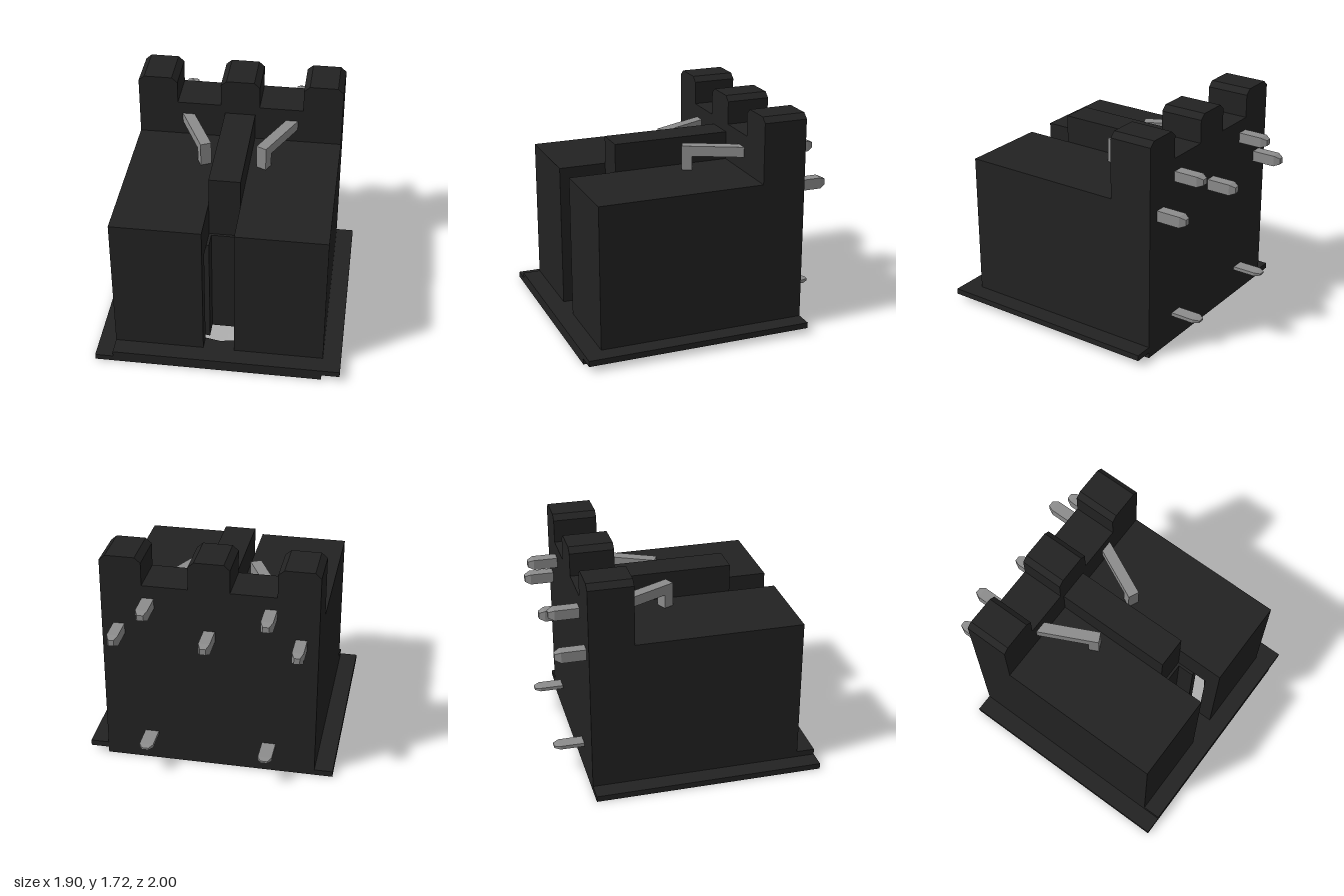
import * as THREE from 'three';

const plastic = new THREE.MeshStandardMaterial({ color: 0x222222, flatShading: true });
const metal = new THREE.MeshStandardMaterial({ color: 0x8c8c8c, flatShading: true });

const BORE_Z = 0.17; // centre of the round socket
const SIDES = 16;

export function createModel() {
  const group = new THREE.Group();

  const add = (name, geometry, material = plastic, parent = group) => {
    const mesh = new THREE.Mesh(geometry, material);
    mesh.name = name;
    parent.add(mesh);
    return mesh;
  };
  // Box given by its extents
  const box = (x0, x1, y0, y1, z0, z1) =>
    new THREE.BoxGeometry(x1 - x0, y1 - y0, z1 - z0)
      .translate((x0 + x1) / 2, (y0 + y1) / 2, (z0 + z1) / 2);
  // Plan outline of [x, z] points raised from y0 to y1
  const slab = (points, y0, y1, hole) => {
    const toVec = ([x, z]) => new THREE.Vector2(x, -z);
    const shape = new THREE.Shape(points.map(toVec));
    if (hole) shape.holes.push(new THREE.Path(hole.map(toVec)));
    return new THREE.ExtrudeGeometry(shape, { depth: y1 - y0, bevelEnabled: false })
      .rotateX(-Math.PI / 2).translate(0, y0, 0);
  };
  // Corners of the faceted socket circle, counted from the front
  const ring = (r, first, last) => {
    const pts = [];
    for (let k = first; k <= last; k++) {
      const a = (k / SIDES) * Math.PI * 2;
      pts.push([r * Math.sin(a), BORE_Z + r * Math.cos(a)]);
    }
    return pts;
  };

  // Base plate with the round opening, and staggered side tabs
  add('basePlate', slab([[-0.81, 1], [0.81, 1], [0.81, -0.77], [-0.81, -0.77]], 0, 0.09, ring(0.6, 0, SIDES - 1)));
  add('rightTab', box(-0.95, -0.81, 0, 0.045, -0.77, 1));
  add('leftTab', box(0.81, 0.95, 0.045, 0.09, -0.77, 1));

  // Housing: lower part holds the bore, upper part closes it; both have the front slot
  const outer = [[0.12, 0.86], [0.81, 0.86], [0.81, -0.77], [-0.81, -0.77], [-0.81, 0.86], [-0.12, 0.86]];
  add('lowerHousing', slab(
    [...outer, [-0.12, 0.746], ...ring(0.6, 1, SIDES - 1).reverse(), [0.12, 0.746]], 0.09, 0.93));
  add('upperHousing', slab([...outer, [-0.12, 0.49], [0.12, 0.49]], 0.93, 1.21));
  add('topRidge', box(-0.12, 0.12, 1.21, 1.43, -0.43, 0.49));

  // Socket core with keyway
  add('socketCore', slab(
    [[0.1, 0.64], ...ring(0.49, 1, SIDES - 1), [-0.1, 0.64], [-0.1, 0.51], [0.1, 0.51]], 0.015, 0.93));

  // Rear wall with three chamfered towers
  const wall = [[-0.81, 1.21]];
  for (const [a, b] of [[-0.81, -0.5], [-0.155, 0.155], [0.5, 0.81]]) {
    if (a > -0.8) wall.push([a, 1.5]);
    wall.push([a, 1.68], [a + 0.045, 1.72], [b - 0.045, 1.72], [b, 1.68]);
    if (b < 0.8) wall.push([b, 1.5]);
  }
  wall.push([0.81, 1.21]);
  add('rearWall', new THREE.ExtrudeGeometry(
    new THREE.Shape(wall.map(([x, y]) => new THREE.Vector2(x, y))),
    { depth: 0.34, bevelEnabled: false }).translate(0, 0, -0.77));

  // Solder pins with tapered tips
  const pin = (name, x, y, w, h) => {
    const g = new THREE.BoxGeometry(w, h, 0.3, 1, 1, 2);
    const p = g.attributes.position;
    for (let i = 0; i < p.count; i++) {
      const z = p.getZ(i);
      if (z > 0.1) p.setZ(i, -0.7);
      else if (z > -0.1) p.setZ(i, -0.955);
      else p.setXYZ(i, p.getX(i) * 0.5, p.getY(i) * 0.55, -1);
    }
    g.computeVertexNormals();
    add(name, g, metal).position.set(x, y, 0);
  };
  pin('centrePin', 0, 1.13, 0.085, 0.085);
  for (const s of [-1, 1]) {
    pin('outerPin', s * 0.68, 1.13, 0.085, 0.085);
    pin('upperPin', s * 0.455, 1.36, 0.09, 0.08);
    pin('lowerPin', s * 0.455, 0.23, 0.105, 0.028);

    // Angled contact strip crossing the top of the housing
    const strip = new THREE.Group();
    strip.name = 'contactStrip';
    strip.position.set(s * 0.215, 0, -0.02);
    strip.rotation.y = -s * 0.45;
    add('stripArm', box(-0.043, 0.043, 1.32, 1.4, -0.5, 0), metal, strip);
    add('stripLeg', box(-0.043, 0.043, 1.2, 1.32, -0.08, 0), metal, strip);
    group.add(strip);
  }

  // Five sprung contacts fanned out in the socket face
  const blade = [[-0.035, -0.18], [0.035, -0.18], [0.035, -0.08], [0.06, -0.05], [0.035, 0], [0.06, 0.05],
    [0.035, 0.08], [0.035, 0.18], [-0.035, 0.18], [-0.035, 0.08], [-0.06, 0.05], [-0.035, 0], [-0.06, -0.05], [-0.035, -0.08]];
  const turns = [-65, -18, 0, 18, 65];
  turns.forEach((turn, i) => {
    const a = (i - 2) * Math.PI / 4;
    const contact = add('socketContact', slab(blade, 0.005, 0.03), metal);
    contact.position.set(0.32 * Math.sin(a), 0, BORE_Z - 0.32 * Math.cos(a));
    contact.rotation.y = -THREE.MathUtils.degToRad(turn);
  });

  return group;
}
